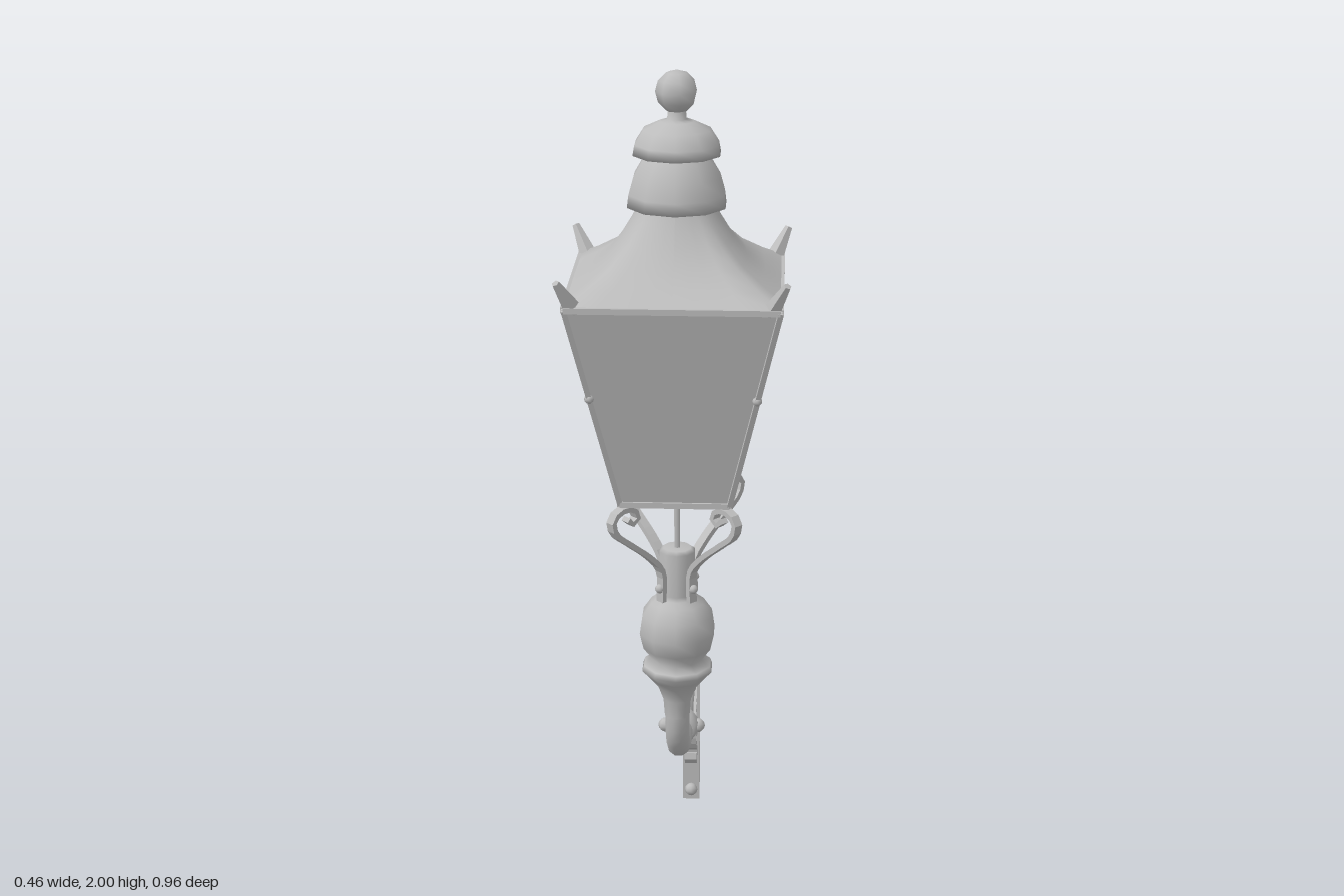
import * as THREE from 'three';

const V = (x, y, z) => new THREE.Vector3(x, y, z);

export function createModel() {
  const metal = new THREE.MeshStandardMaterial({ color: 0xbcbcbc, side: THREE.DoubleSide });
  metal.name = 'grey metal';
  const model = new THREE.Group();
  model.name = 'wallLantern';

  const add = (name, geo, parent = model) => {
    const mesh = new THREE.Mesh(geo, metal);
    mesh.name = name;
    parent.add(mesh);
    return mesh;
  };
  const flat = (geo) => {
    const g = geo.toNonIndexed();
    g.computeVertexNormals();
    return g;
  };
  // turned part from [radius, height] pairs
  const turned = (name, pts, parent, sides = 10) =>
    add(name, new THREE.LatheGeometry(pts.map(p => new THREE.Vector2(p[0], p[1])), sides), parent);
  // straight square bar between two points
  const bar = (name, a, b, w, parent) => {
    const m = add(name, new THREE.BoxGeometry(w, w, a.distanceTo(b)), parent);
    m.position.copy(a).lerp(b, 0.5);
    m.quaternion.setFromUnitVectors(V(0, 0, 1), b.clone().sub(a).normalize());
  };
  // flat strip bent along [z, y] points in the x = 0 plane
  const ribbon = (name, pts, width, thick, parent = model) => {
    const path = new THREE.CatmullRomCurve3(pts.map(p => V(0, p[1], p[0])));
    const s = new THREE.Shape([
      new THREE.Vector2(-width / 2, -thick / 2), new THREE.Vector2(width / 2, -thick / 2),
      new THREE.Vector2(width / 2, thick / 2), new THREE.Vector2(-width / 2, thick / 2)]);
    add(name, new THREE.ExtrudeGeometry(s, { steps: pts.length * 2, extrudePath: path }), parent);
  };
  const knob = (name, r, x, y, z, parent) =>
    add(name, new THREE.SphereGeometry(r, 8, 6), parent).position.set(x, y, z);

  // ---- lantern head, centred on its own axis ----
  const head = new THREE.Group();
  head.name = 'lanternHead';
  head.position.z = 0.25;
  model.add(head);

  const top = 0.211, low = 0.112, yTop = 1.57, yLow = 1.13;
  const panes = new THREE.CylinderGeometry(top * Math.SQRT2, low * Math.SQRT2, yTop - yLow, 4, 1, true);
  panes.rotateY(Math.PI / 4);
  add('glassPanes', flat(panes), head).position.y = (yTop + yLow) / 2;

  // frame, corner horns and scroll supports, one set per corner
  for (let i = 0; i < 4; i++) {
    const corner = new THREE.Group();
    corner.name = 'corner' + (i + 1);
    corner.rotation.y = i * Math.PI / 2;
    head.add(corner);
    bar('cornerPost', V(low, yLow, low), V(top, yTop, top), 0.011, corner);
    bar('topRail', V(-top, yTop, top), V(top, yTop, top), 0.012, corner);
    bar('bottomRail', V(-low, yLow, low), V(low, yLow, low), 0.012, corner);
    knob('postStud', 0.01, 0.167, 1.375, 0.167, corner);

    const diagonal = new THREE.Group();
    diagonal.name = 'diagonalParts';
    diagonal.rotation.y = Math.PI / 4;
    corner.add(diagonal);
    const horn = add('cornerHorn', flat(new THREE.CylinderGeometry(0.008, 0.02, 0.076, 5)), diagonal);
    horn.position.set(0, 1.597, 0.295);
    horn.rotation.x = 0.6;
    ribbon('scrollSupport', [[0.045, 0.88], [0.047, 0.95], [0.08, 0.99], [0.135, 1.035], [0.175, 1.07],
      [0.18, 1.1], [0.155, 1.115], [0.125, 1.11], [0.115, 1.09], [0.13, 1.08], [0.142, 1.092]], 0.02, 0.011, diagonal);
    knob('supportRivet', 0.01, 0, 0.91, 0.05, diagonal);
  }

  // roof: rings that change from square to round
  const rings = [[0.216, 1.572, 0], [0.178, 1.598, 0.12], [0.142, 1.63, 0.35], [0.112, 1.67, 0.65], [0.088, 1.71, 0.9], [0.075, 1.74, 1]];
  const sides = 32, pos = [], index = [];
  rings.forEach(([r, y, round], j) => {
    for (let i = 0; i <= sides; i++) {
      const a = i / sides * Math.PI * 2, s = Math.sin(a), c = Math.cos(a);
      const k = r * (round + (1 - round) / Math.max(Math.abs(s), Math.abs(c)));
      pos.push(s * k, y, c * k);
      if (j && i < sides) {
        const q = j * (sides + 1) + i, p = q - sides - 1;
        index.push(p, p + 1, q, p + 1, q + 1, q);
      }
    }
  });
  const roof = new THREE.BufferGeometry();
  roof.setAttribute('position', new THREE.Float32BufferAttribute(pos, 3));
  roof.setIndex(index);
  roof.computeVertexNormals();
  add('roof', roof, head);

  // vent caps and finial
  turned('lowerCap', [[0.07, 1.735], [0.103, 1.73], [0.1, 1.755], [0.09, 1.79], [0.071, 1.822], [0.055, 1.84]], head);
  turned('upperCap', [[0.05, 1.838], [0.091, 1.834], [0.087, 1.855], [0.069, 1.883], [0.035, 1.899], [0.02, 1.903], [0.018, 1.93]], head);
  add('finialBall', new THREE.SphereGeometry(0.043, 7, 6), head).position.y = 1.957;

  // ---- stem below the head ----
  add('gasRod', new THREE.CylinderGeometry(0.007, 0.007, 0.15, 6), head).position.y = 1.055;
  turned('stem', [[0.028, 0.6], [0.031, 0.64], [0.042, 0.67], [0.06, 0.692], [0.078, 0.712], [0.074, 0.724],
    [0.055, 0.737], [0.075, 0.765], [0.083, 0.8], [0.077, 0.84], [0.058, 0.868],
    [0.042, 0.88], [0.039, 0.89], [0.039, 0.985], [0.03, 0.992], [0, 0.992]], head);

  // ---- bent pipe and straight arm ----
  const bend = new THREE.CatmullRomCurve3([V(0, 0.66, 0.25), V(0, 0.6, 0.248), V(0, 0.54, 0.232),
    V(0, 0.495, 0.19), V(0, 0.477, 0.13), V(0, 0.475, 0.05)]);
  add('bentPipe', new THREE.TubeGeometry(bend, 14, 0.026, 10));
  const arm = add('arm', new THREE.CylinderGeometry(0.023, 0.023, 0.53, 10));
  arm.rotation.x = Math.PI / 2;
  arm.position.set(0, 0.475, -0.21);

  const collar = turned('collar', [[0.02, -0.025], [0.033, -0.025], [0.039, -0.012], [0.039, 0.012], [0.033, 0.025], [0.02, 0.025]], model);
  collar.rotation.x = Math.PI / 2;
  collar.position.set(0, 0.475, 0.055);
  for (const s of [-1, 1]) {
    knob('collarStud', 0.016, 0, 0.475 + s * 0.04, 0.055);
    knob('collarStud', 0.016, s * 0.037, 0.475, 0.055);
  }

  // ---- wall plate ----
  const plate = add('wallPlate', new THREE.BoxGeometry(0.042, 0.56, 0.008));
  plate.position.set(0, 0.28, -0.476);
  for (const [name, r, h, z] of [['wallDisc', 0.05, 0.008, -0.476], ['armFlange', 0.033, 0.014, -0.466]]) {
    const disc = add(name, new THREE.CylinderGeometry(r, r, h, 10));
    disc.rotation.x = Math.PI / 2;
    disc.position.set(0, 0.475, z);
  }
  for (const y of [0.033, 0.548]) knob('wallBolt', 0.016, 0, y, -0.461);

  // ---- scrollwork bracket ----
  ribbon('mainScroll', [[-0.1, 0.45], [-0.14, 0.443], [-0.19, 0.41], [-0.26, 0.335], [-0.34, 0.285], [-0.42, 0.295],
    [-0.467, 0.36], [-0.455, 0.425], [-0.4, 0.45], [-0.345, 0.425], [-0.335, 0.385], [-0.365, 0.362],
    [-0.392, 0.38], [-0.385, 0.405]], 0.03, 0.009);
  ribbon('lowerScroll', [[-0.45, 0.305], [-0.41, 0.26], [-0.4, 0.215], [-0.415, 0.175], [-0.45, 0.162],
    [-0.468, 0.14], [-0.452, 0.12], [-0.432, 0.13], [-0.435, 0.15]], 0.03, 0.009);
  // small curls under the arm and beside the plate
  const curl = [[0.02, 0.035], [-0.015, 0.03], [-0.024, 0], [-0.006, -0.02], [0.018, -0.01], [0.014, 0.01], [-0.002, 0.008]];
  for (const [z, y, s] of [[-0.075, 0.428, 1], [-0.12, 0.42, -1], [-0.28, 0.425, 1]])
    ribbon('smallCurl', curl.map(p => [z + p[0] * s, y + p[1]]), 0.03, 0.009);
  ribbon('smallCurl', curl.map(p => [-0.445 + p[1] * 0.9, 0.2 + p[0] * 0.9]), 0.03, 0.009);

  return model;
}
